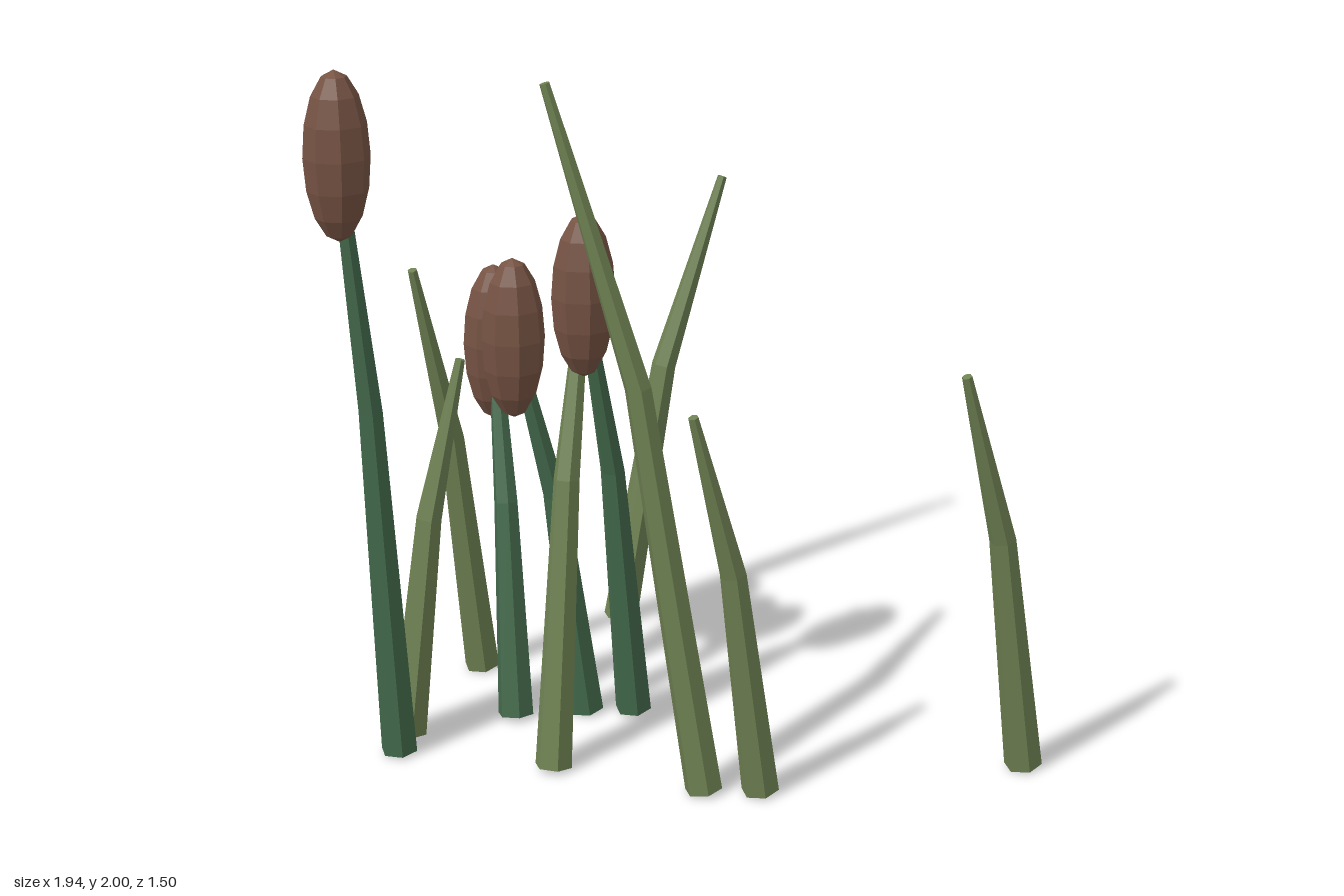
import * as THREE from 'three';

// Tapered six-sided shaft with a single bend: a cylinder whose rings are moved onto a path
function shaftGeometry(points, radii) {
  const dir = (a, b) => points[b].clone().sub(points[a]).normalize();
  const tangents = [dir(0, 1), dir(0, 2), dir(1, 2)];
  const up = new THREE.Vector3(0, 1, 0);
  const turns = tangents.map((t) => new THREE.Quaternion().setFromUnitVectors(up, t));
  const geometry = new THREE.CylinderGeometry(1, 1, 2, 6, 2);
  const position = geometry.attributes.position;
  const v = new THREE.Vector3();
  for (let i = 0; i < position.count; i++) {
    v.fromBufferAttribute(position, i);
    const ring = Math.round(v.y + 1);
    v.y = 0;
    v.multiplyScalar(radii[ring]).applyQuaternion(turns[ring]).add(points[ring]);
    position.setXYZ(i, v.x, v.y, v.z);
  }
  geometry.computeVertexNormals();
  return geometry;
}

// Path from the ground to the tip, leaning further above the bend
function bentPath([bx, bz], [tx, ty, tz]) {
  const lean = 0.43;
  return [
    new THREE.Vector3(bx, 0.012, bz),
    new THREE.Vector3(bx + (tx - bx) * lean, ty * 0.59, bz + (tz - bz) * lean),
    new THREE.Vector3(tx, ty, tz),
  ];
}

export function createModel() {
  const model = new THREE.Group();
  model.name = 'reeds';

  const paint = (name, color) => {
    const material = new THREE.MeshStandardMaterial({ color, flatShading: true });
    material.name = name;
    return material;
  };
  const leafGreen = paint('leafGreen', 0x6f8253);
  const stemGreen = paint('stemGreen', 0x446a4c);
  const headBrown = paint('headBrown', 0x765343);

  const add = (parent, name, geometry, material) => {
    const mesh = new THREE.Mesh(geometry, material);
    mesh.name = name;
    parent.add(mesh);
    return mesh;
  };

  // Blades: base [x, z], tip [x, y, z]
  const blades = [
    [[0.065, -0.632], [0.41, 1.38, -0.735]],
    [[0.92, 0.615], [0.665, 1.22, 0.735]],
    [[0.165, 0.585], [-0.055, 1.15, 0.675]],
    [[0.015, 0.545], [-0.378, 1.985, 0.405]],
    [[-0.42, -0.395], [-0.625, 1.315, -0.232]],
    [[-0.71, -0.002], [-0.53, 1.108, -0.04]],
    [[-0.355, 0.31], [-0.2, 1.4, 0.085]],
  ];
  blades.forEach(([base, tip], i) => {
    add(model, `leaf${i + 1}`, shaftGeometry(bentPath(base, tip), [0.053, 0.037, 0.014]), leafGreen);
  });

  // Stalks: base [x, z], centre of the seed head [x, y, z]
  const stalks = [
    [[-0.755, 0.105], [-0.883, 1.77, 0.19]],
    [[-0.39, -0.04], [-0.39, 1.075, -0.263]],
    [[-0.185, -0.028], [-0.393, 1.18, 0.025]],
    [[-0.05, 0.002], [-0.228, 1.335, 0.172]],
  ];
  const headGeometry = new THREE.SphereGeometry(1, 8, 8);
  headGeometry.scale(0.089, 0.23, 0.083);
  stalks.forEach(([base, top], i) => {
    const stalk = new THREE.Group();
    stalk.name = `stalk${i + 1}`;
    add(stalk, 'stem', shaftGeometry(bentPath(base, top), [0.053, 0.035, 0.018]), stemGreen);
    add(stalk, 'seedHead', headGeometry, headBrown).position.set(...top);
    model.add(stalk);
  });

  return model;
}
